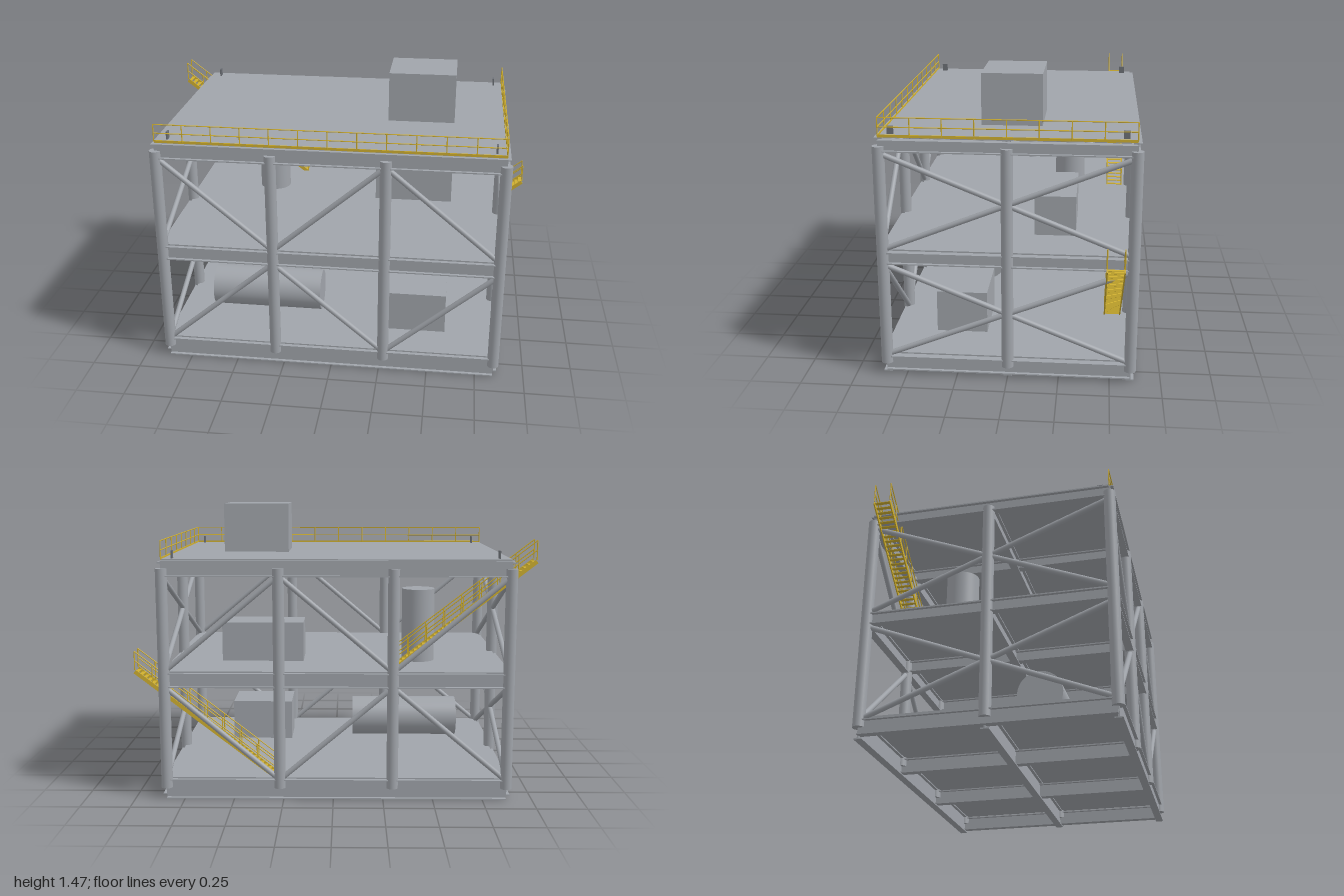
import * as THREE from 'three';

const mat = (name, color) => {
  const m = new THREE.MeshStandardMaterial({ color });
  m.name = name;
  return m;
};

export function createModel() {
  const root = new THREE.Group();
  root.name = 'processModule';
  const steel = mat('steel grey', 0xa0a4aa);
  const yellow = mat('safety yellow', 0xd0b030);
  const dark = mat('dark lug grey', 0x6c7076);

  const group = (name, parent = root) => {
    const g = new THREE.Group();
    g.name = name;
    parent.add(g);
    return g;
  };
  const add = (parent, name, geo, material, x = 0, y = 0, z = 0) => {
    const m = new THREE.Mesh(geo, material);
    m.name = name;
    m.position.set(x, y, z);
    parent.add(m);
    return m;
  };
  // Box given by its min and max along each axis
  const block = (parent, name, material, [x0, x1], [y0, y1], [z0, z1]) =>
    add(parent, name, new THREE.BoxGeometry(x1 - x0, y1 - y0, z1 - z0), material,
      (x0 + x1) / 2, (y0 + y1) / 2, (z0 + z1) / 2);
  // Round bar between two points
  const bar = (parent, name, material, a, b, r, sides = 16) => {
    const p = new THREE.Vector3(...a), q = new THREE.Vector3(...b);
    const d = q.clone().sub(p);
    const m = add(parent, name, new THREE.CylinderGeometry(r, r, d.length(), sides), material);
    m.position.copy(p).add(q).multiplyScalar(0.5);
    m.quaternion.setFromUnitVectors(new THREE.Vector3(0, 1, 0), d.normalize());
    return m;
  };
  // I-section beam running along x or z
  const iBeam = (parent, name, alongX, from, to, y0, y1, at) => {
    const w = 0.02, t = 0.006, web = 0.004, h = y1 - y0;
    const half = [[web, t], [w, t], [w, 0], [-w, 0], [-w, t], [-web, t],
      [-web, h - t], [-w, h - t], [-w, h], [w, h], [w, h - t], [web, h - t]];
    const shape = new THREE.Shape(half.map(([x, y]) => new THREE.Vector2(x, y)));
    const geo = new THREE.ExtrudeGeometry(shape, { depth: to - from, bevelEnabled: false });
    if (alongX) geo.rotateY(Math.PI / 2);
    add(parent, name, geo, steel, alongX ? from : at, y0, alongX ? at : from);
  };

  const colX = [-0.87, -0.297, 0.27, 0.842];
  const colZ = [-0.6, 0, 0.6];
  const [xMin, xMax] = [colX[0], colX[3]];

  // Columns around the perimeter
  const columns = group('columns');
  for (const x of colX) for (const z of colZ) {
    if (z === 0 && x !== xMin && x !== xMax) continue;
    bar(columns, 'column', steel, [x, 0.055, z], [x, 1.165, z], 0.029, 24);
  }

  // Three floors: long beams, cross beams and deck plate
  const floors = [
    { name: 'lowerFloor', y: [0, 0.1], cross: [0.017, 0.092] },
    { name: 'middleFloor', y: [0.572, 0.645], cross: [0.58, 0.64] },
    { name: 'upperFloor', y: [1.125, 1.204], cross: [1.138, 1.196] },
  ];
  for (const f of floors) {
    const g = group(f.name);
    for (const z of colZ) iBeam(g, 'longBeam', true, xMin, xMax, ...f.y, z);
    for (const x of colX) iBeam(g, 'crossBeam', false, -0.6, 0.6, ...f.cross, x);
    block(g, 'deckPlate', steel, [xMin, xMax], [f.y[1], f.y[1] + 0.007], [-0.6, 0.6]);
  }

  // Zigzag braces on the long faces, crossed braces on the ends
  const braces = group('braces');
  const R = 0.0135;
  for (const z of [-0.6, 0.6]) {
    const nodes = { upper: [1.13, 0.65, 1.13, 0.65], lower: [0.095, 0.575, 0.095, 0.575] };
    for (const ys of Object.values(nodes))
      for (let i = 0; i < 3; i++)
        bar(braces, 'longFaceBrace', steel, [colX[i], ys[i], z], [colX[i + 1], ys[i + 1], z], R);
  }
  for (const x of [xMin, xMax])
    for (const [lo, hi] of [[0.095, 0.575], [0.65, 1.13]])
      for (const s of [-1, 1])
        bar(braces, 'endCrossBrace', steel, [x, lo, -0.6 * s], [x, hi, 0.6 * s], R);

  // Equipment
  const equipment = group('equipment');
  bar(equipment, 'horizontalTank', steel, [-0.695, 0.225, 0.215], [-0.1, 0.225, 0.215], 0.11, 48);
  bar(equipment, 'verticalVessel', steel, [-0.441, 0.65, -0.255], [-0.441, 1.03, -0.255], 0.085, 48);
  block(equipment, 'lowerUnit', steel, [0.25, 0.585], [0.107, 0.325], [0.13, 0.39]);
  block(equipment, 'middleUnit', steel, [0.16, 0.585], [0.652, 0.855], [-0.318, -0.112]);
  block(equipment, 'roofUnit', steel, [0.244, 0.585], [1.211, 1.465], [-0.15, 0.147]);

  // Lifting lugs near the roof corners
  for (const x of [-0.815, 0.795]) for (const z of [-0.55, 0.55])
    block(root, 'liftingLug', dark, [x - 0.004, x + 0.004], [1.21, 1.25], [z - 0.015, z + 0.015]);

  // Roof guard rail along the front and the left end
  const guard = group('roofGuardRail');
  const railRun = (a, b, spans) => {
    for (const y of [1.255, 1.3]) bar(guard, 'rail', yellow, [a[0], y, a[1]], [b[0], y, b[1]], 0.0028, 8);
    for (let i = 0; i <= spans; i++) {
      const x = THREE.MathUtils.lerp(a[0], b[0], i / spans);
      const z = THREE.MathUtils.lerp(a[1], b[1], i / spans);
      bar(guard, 'post', yellow, [x, 1.21, z], [x, 1.3, z], 0.0028, 8);
    }
  };
  railRun([xMin, 0.6], [xMax, 0.6], 12);
  railRun([xMax, 0.6], [xMax, -0.6], 8);
  block(guard, 'toePlate', yellow, [xMin, xMax], [1.206, 1.219], [0.598, 0.602]);
  block(guard, 'toePlate', yellow, [xMax - 0.002, xMax + 0.002], [1.206, 1.219], [-0.6, 0.6]);

  // Stairs: stringers, treads and handrails, from foot to head
  const stair = (name, [x0, y0], [x1, y1]) => {
    const g = group(name);
    const dx = x1 - x0, dy = y1 - y0, steps = 36, posts = 8;
    for (const z of [-0.556, -0.474]) {
      const s = add(g, 'stringer', new THREE.BoxGeometry(Math.hypot(dx, dy), 0.02, 0.006), yellow,
        (x0 + x1) / 2, (y0 + y1) / 2 - 0.008, z);
      s.rotation.z = Math.atan(dy / dx);
      for (const h of [0.048, 0.095])
        bar(g, 'handrail', yellow, [x0, y0 + h, z], [x1, y1 + h, z], 0.0028, 8);
      for (let i = 0; i <= posts; i++) {
        const x = x0 + dx * i / posts, y = y0 + dy * i / posts;
        bar(g, 'handrailPost', yellow, [x, y, z], [x, y + 0.095, z], 0.0028, 8);
      }
    }
    for (let i = 0; i < steps; i++) {
      const t = (i + 0.5) / steps;
      add(g, 'tread', new THREE.BoxGeometry(0.019, 0.003, 0.08), yellow,
        x0 + dx * t, y0 + dy * t - 0.004, -0.515);
    }
  };
  stair('lowerStair', [0.3, 0.107], [0.997, 0.65]);
  stair('upperStair', [-0.285, 0.652], [-0.997, 1.205]);

  return root;
}
